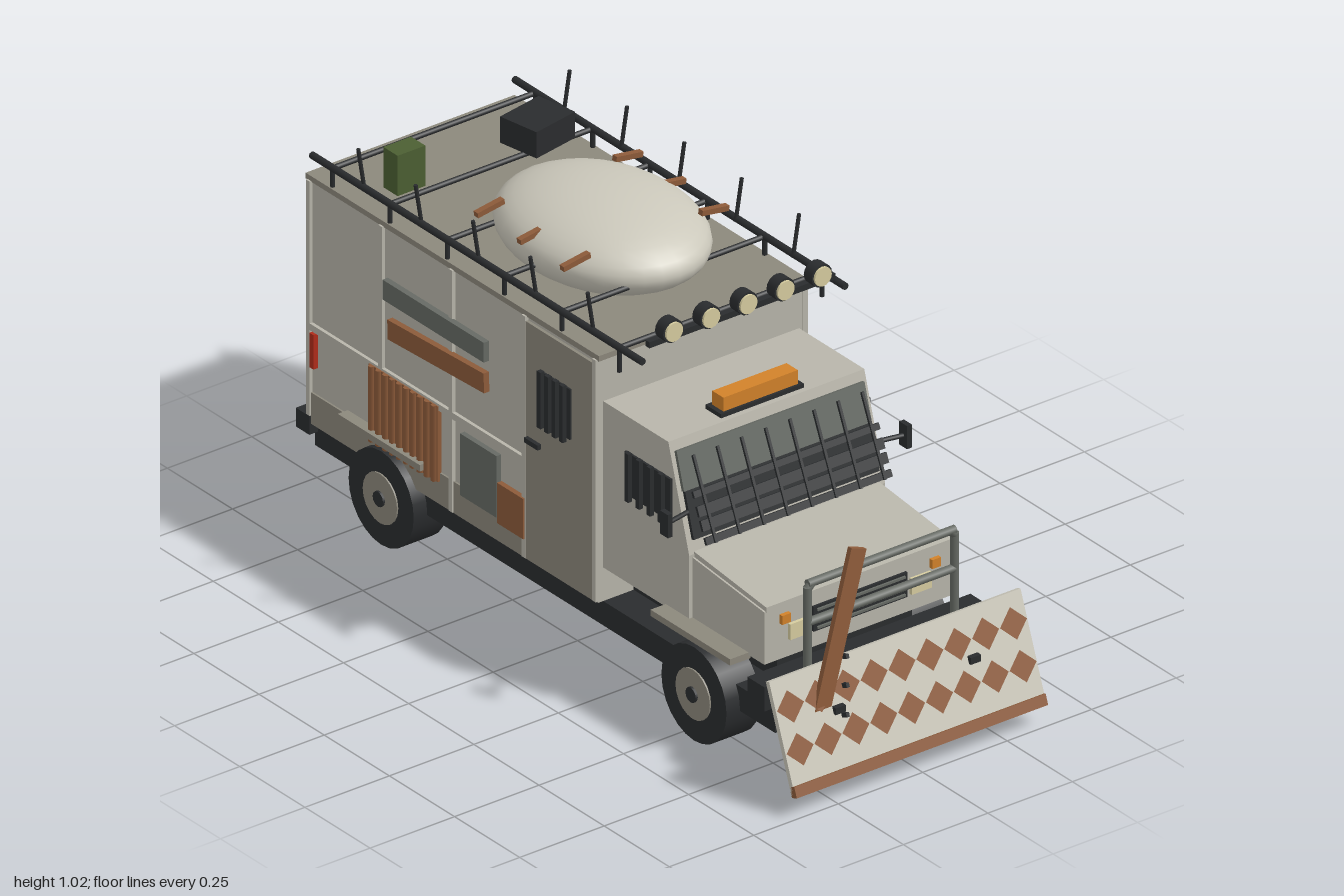
import * as THREE from 'three';

const mat = (name, color) => {
  const m = new THREE.MeshStandardMaterial({ color });
  m.name = name;
  return m;
};

export function createModel() {
  const root = new THREE.Group();
  root.name = 'armouredTruck';
  const body = mat('body grey', 0xb8b5aa), pale = mat('pale plate', 0xcac7ba);
  const shade = mat('dark grey panel', 0x8c887c), rust = mat('rusty brown', 0x8d5b3a);
  const orange = mat('amber', 0xd2822a), cream = mat('lamp cream', 0xd6cc9f);
  const black = mat('black', 0x2a2c2e), metal = mat('steel', 0x666a64);
  const green = mat('green', 0x4c5f33), red = mat('red', 0xb02c1a);

  const add = (name, geo, m, x = 0, y = 0, z = 0, parent = root) => {
    const mesh = new THREE.Mesh(geo, m);
    mesh.name = name;
    mesh.position.set(x, y, z);
    parent.add(mesh);
    return mesh;
  };
  const box = (name, m, w, h, d, x, y, z, parent) =>
    add(name, new THREE.BoxGeometry(w, h, d), m, x, y, z, parent);
  // box given by its limits along y and z
  const span = (name, m, x, w, y0, y1, z0, z1) =>
    box(name, m, w, y1 - y0, Math.abs(z1 - z0), x, (y0 + y1) / 2, (z0 + z1) / 2);
  const rod = (name, m, a, b, r, sides = 8) => {
    const p = new THREE.Vector3(...a), q = new THREE.Vector3(...b), d = q.clone().sub(p);
    const mesh = add(name, new THREE.CylinderGeometry(r, r, d.length(), sides), m);
    mesh.position.copy(p.add(q).multiplyScalar(0.5));
    mesh.quaternion.setFromUnitVectors(new THREE.Vector3(0, 1, 0), d.normalize());
    return mesh;
  };
  // side profile of [z, y] points extruded across the width
  const profile = (name, m, pts, width) => {
    const shape = new THREE.Shape(pts.map(([z, y]) => new THREE.Vector2(-z, y)));
    const geo = new THREE.ExtrudeGeometry(shape, { depth: width, bevelEnabled: false });
    geo.translate(0, 0, -width / 2).rotateY(Math.PI / 2);
    return add(name, geo, m);
  };

  // Chassis and bumpers
  span('chassis', black, 0, 0.58, 0.12, 0.185, -0.955, 0.81);
  span('frontBumper', black, 0, 0.66, 0.195, 0.26, 0.755, 0.82);
  span('rearBumper', black, 0, 0.63, 0.16, 0.21, -0.997, -0.945);

  // Cargo box, cab and hood
  span('cargoBox', body, 0, 0.61, 0.185, 0.838, -0.96, 0.15);
  span('cargoRoof', shade, 0, 0.618, 0.835, 0.85, -0.967, 0.158);
  profile('cab', body, [[0.15, 0.275], [0.15, 0.72], [0.4, 0.72], [0.48, 0.45], [0.48, 0.275]], 0.58);
  profile('hood', body, [[0.45, 0.275], [0.45, 0.445], [0.755, 0.415], [0.755, 0.275]], 0.56);
  profile('hoodLid', body, [[0.47, 0.435], [0.47, 0.457], [0.757, 0.427], [0.757, 0.412]], 0.55);
  span('cabMount', black, 0, 0.4, 0.18, 0.28, 0.15, 0.7);

  // Wheels
  for (const s of [1, -1]) for (const z of [0.55, -0.65]) {
    const wheel = new THREE.Group();
    wheel.name = 'wheel';
    wheel.position.set(s * 0.28, 0.125, z);
    wheel.rotation.z = -s * Math.PI / 2;
    root.add(wheel);
    add('tyre', new THREE.CylinderGeometry(0.125, 0.125, 0.1, 24), black, 0, 0, 0, wheel);
    add('rim', new THREE.CylinderGeometry(0.066, 0.066, 0.108, 20), shade, 0, 0, 0, wheel);
    add('hub', new THREE.CylinderGeometry(0.02, 0.02, 0.12, 12), black, 0, 0, 0, wheel);
  }

  // Matching fittings on both sides
  for (const s of [1, -1]) {
    const w = s * 0.307;
    span('frontFender', shade, s * 0.305, 0.06, 0.265, 0.282, 0.39, 0.695);
    span('rearFender', shade, s * 0.318, 0.034, 0.265, 0.282, -0.81, -0.495);
    span('sideDoor', shade, w, 0.012, 0.19, 0.825, -0.12, 0.145);
    span('skirt', shade, w, 0.006, 0.188, 0.272, -0.955, -0.12);
    span('doorHandle', black, s * 0.318, 0.012, 0.508, 0.521, -0.11, -0.058);
    span('beltTrim', body, w, 0.014, 0.44, 0.458, -0.96, -0.12);
    for (const z of [-0.125, -0.405, -0.675, -0.952, 0.145])
      span('postTrim', body, w, 0.014, 0.19, 0.837, z - 0.007, z + 0.007);
    for (const [z0, z1, y0, y1, x] of [[-0.06, 0.058, 0.585, 0.72, 0.314], [0.24, 0.415, 0.515, 0.628, 0.292]]) {
      span('sideWindow', black, s * x, 0.008, y0, y1, z0, z1);
      for (let i = 0; i < 4; i++) {
        const z = z0 + (z1 - z0) * (0.14 + 0.24 * i);
        span('windowBar', black, s * (x + 0.012), 0.012, y0 - 0.008, y1 + 0.008, z - 0.007, z + 0.007);
      }
    }
    // Scrap armour
    span('steelPlank', metal, s * 0.318, 0.016, 0.655, 0.708, -0.65, -0.262);
    box('rustPlank', rust, 0.016, 0.052, 0.37, s * 0.319, 0.592, -0.445).rotation.x = -0.045;
    span('steelPatch', metal, s * 0.312, 0.014, 0.255, 0.42, -0.362, -0.222);
    span('rustPatch', rust, s * 0.312, 0.014, 0.242, 0.35, -0.22, -0.12);
    span('rustSheet', rust, s * 0.311, 0.012, 0.25, 0.452, -0.715, -0.45);
    for (let i = 0; i < 10; i++)
      rod('sheetRib', rust, [s * 0.317, 0.25, -0.463 - i * 0.0266], [s * 0.317, 0.452, -0.463 - i * 0.0266], 0.009, 6);
    span('tailLight', red, s * 0.312, 0.014, 0.345, 0.437, -0.94, -0.924);
    span('rearTailLight', red, s * 0.296, 0.016, 0.345, 0.437, -0.968, -0.955);
    // Mirror, headlight, turn signal
    rod('mirrorArm', black, [s * 0.28, 0.555, 0.46], [s * 0.355, 0.555, 0.475], 0.006);
    box('mirror', black, 0.014, 0.062, 0.03, s * 0.354, 0.556, 0.475);
    box('headlight', cream, 0.06, 0.042, 0.012, s * 0.18, 0.342, 0.758);
    box('turnSignal', orange, 0.026, 0.024, 0.016, s * 0.222, 0.383, 0.758);
    // Push bar upright and plough arm
    rod('pushBarUpright', metal, [s * 0.218, 0.23, 0.84], [s * 0.218, 0.5, 0.84], 0.011, 10);
    rod('pushBarCorner', metal, [s * 0.218, 0.495, 0.84], [s * 0.205, 0.508, 0.84], 0.011, 10);
    box('ploughArm', black, 0.03, 0.018, 0.14, s * 0.2, 0.21, 0.875);
  }
  for (const y of [0.405, 0.508])
    rod('pushBarRail', metal, [-0.218, y, 0.84], [0.218, y, 0.84], 0.011, 10);

  // Radiator grille
  box('grille', black, 0.278, 0.066, 0.01, 0, 0.352, 0.757);
  for (let i = 0; i < 4; i++) box('grilleSlat', metal, 0.26, 0.006, 0.008, 0, 0.328 + i * 0.016, 0.763);

  // Windscreen with its cage
  const screen = new THREE.Group();
  screen.name = 'windscreen';
  screen.position.set(0, 0.59, 0.44);
  screen.rotation.x = -0.288;
  root.add(screen);
  box('visorPlate', metal, 0.556, 0.1, 0.012, 0, 0.06, 0.002, screen);
  box('glass', black, 0.55, 0.12, 0.012, 0, -0.05, 0.002, screen);
  const cage = new THREE.Group();
  cage.name = 'windscreenCage';
  cage.position.set(0, 0.59, 0.482);
  cage.rotation.x = -0.42;
  root.add(cage);
  for (let i = 0; i < 8; i++) box('cageBar', black, 0.007, 0.215, 0.007, -0.25 + i * 0.0714, 0, 0.006, cage);
  for (const [y, h] of [[0.017, 0.016], [-0.025, 0.026], [-0.06, 0.026], [-0.098, 0.018]])
    box('cageSlat', black, 0.55, h, 0.008, 0, y, 0, cage);

  // Beacon
  span('beaconBase', black, 0, 0.245, 0.718, 0.731, 0.325, 0.385);
  span('beacon', orange, 0, 0.22, 0.731, 0.768, 0.335, 0.378);

  // Rear doors with a nailed plank
  box('rearDoors', shade, 0.575, 0.6, 0.008, 0, 0.52, -0.961);
  box('rearSeam', body, 0.008, 0.6, 0.008, 0, 0.52, -0.963);
  box('rearPlank', rust, 0.39, 0.118, 0.014, 0, 0.635, -0.969).rotation.z = 0.07;

  // Roof rack with spikes
  for (const s of [1, -1]) {
    rod('rackRail', black, [s * 0.3, 0.9, 0.315], [s * 0.3, 0.9, -0.955], 0.009);
    for (let i = 0; i < 5; i++) {
      const z = 0.12 - i * 0.22;
      rod('rackSpike', black, [s * 0.295, 0.895, z], [s * 0.313, 1.005, z], 0.005, 6);
    }
    for (let i = 0; i < 6; i++)
      rod('rackPost', black, [s * 0.3, 0.835, 0.225 - i * 0.22], [s * 0.3, 0.9, 0.225 - i * 0.22], 0.006);
  }
  for (let i = 0; i < 6; i++)
    rod('rackCrossbar', black, [-0.3, 0.897, 0.222 - i * 0.22], [0.3, 0.897, 0.222 - i * 0.22], 0.007);

  // Roof lamps
  box('lampBar', black, 0.55, 0.016, 0.016, 0, 0.933, 0.3);
  for (let i = -2; i <= 2; i++) {
    rod('lampHousing', black, [i * 0.11, 0.961, 0.297], [i * 0.11, 0.961, 0.328], 0.03, 16);
    rod('lampLens', cream, [i * 0.11, 0.961, 0.32], [i * 0.11, 0.961, 0.334], 0.025, 16);
  }

  // Roof pod with pegs, and cargo
  add('roofPod', new THREE.SphereGeometry(1, 32, 20), pale, 0.013, 0.912, -0.245).scale.set(0.23, 0.104, 0.3);
  for (const s of [1, -1]) for (const z of [-0.41, -0.245, -0.08])
    box('podPeg', rust, 0.08, 0.014, 0.016, 0.01 + s * 0.205, 0.962, z).rotation.z = -s * 0.15;
  box('greenCan', green, 0.082, 0.108, 0.055, -0.209, 0.942, -0.718);
  box('roofCrate', black, 0.135, 0.07, 0.115, 0.16, 0.937, -0.685).rotation.y = 0.18;

  // Plough: tilted blade with diamonds and a cutting edge
  const plough = new THREE.Group();
  plough.name = 'plough';
  plough.position.set(0, 0.186, 0.936);
  plough.rotation.x = -0.36;
  root.add(plough);
  box('blade', pale, 0.744, 0.282, 0.014, 0, 0, 0, plough);
  box('cuttingEdge', rust, 0.744, 0.028, 0.02, 0, -0.131, 0.003, plough);
  const diamond = new THREE.CircleGeometry(0.04, 4);
  for (const y of [0.068, -0.037]) for (let i = -4; i <= 4; i++)
    add('diamond', diamond, rust, i * 0.0825, y, 0.009, plough);
  for (const [x, y] of [[-0.155, 0.138], [-0.172, 0.072], [-0.19, 0.005]])
    box('bolt', black, 0.009, 0.011, 0.03, x, y, 0.012, plough);

  // Loose plank driven through the plough
  const plank = box('loosePlank', rust, 0.046, 0.52, 0.014, -0.196, 0.347, 0.913);
  plank.rotation.set(-0.085, 0, -0.335);

  return root;
}
